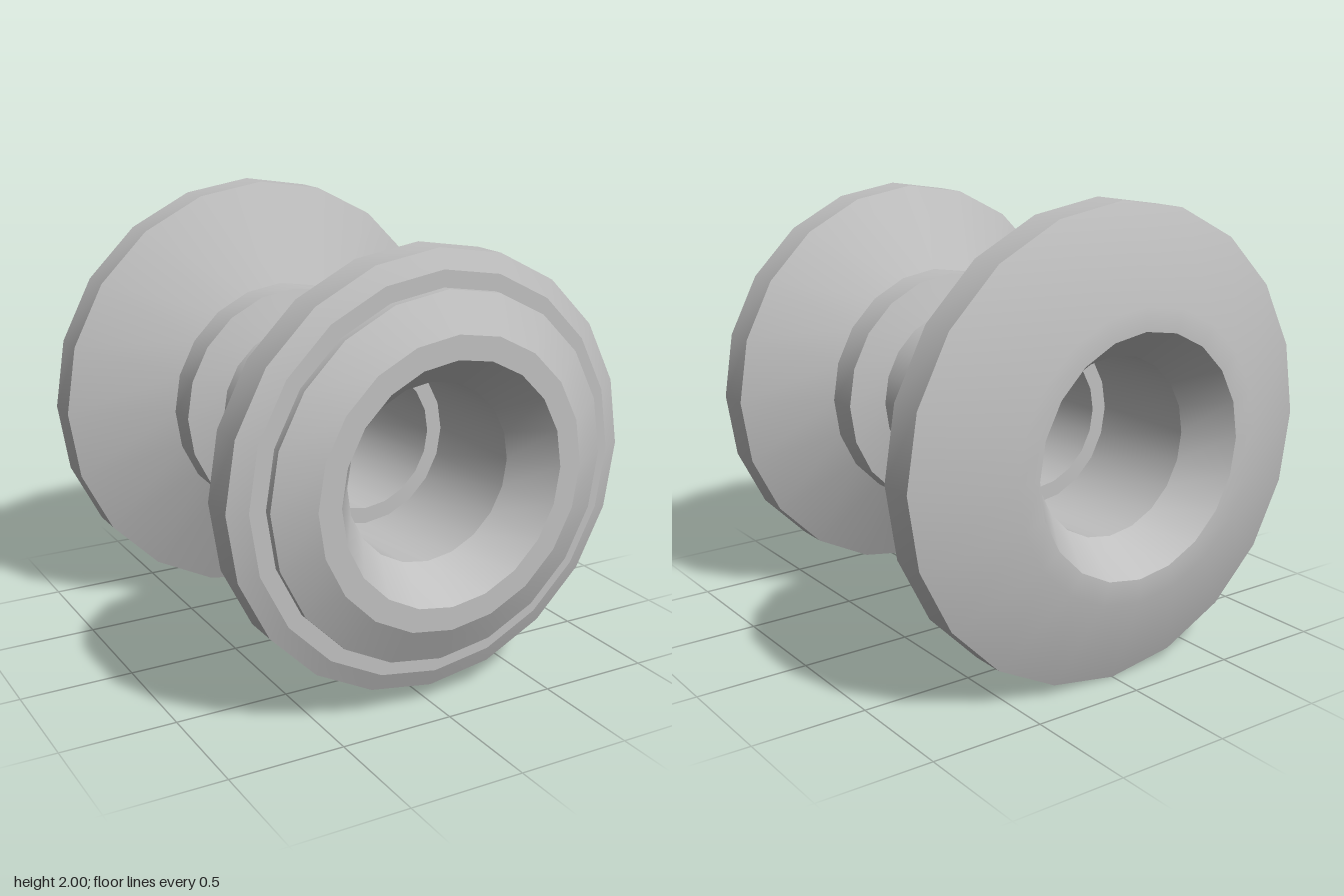
import * as THREE from 'three';
import { toCreasedNormals } from 'three/addons/utils/BufferGeometryUtils.js';

const SIDES = 20;

export function createModel() {
  const grey = new THREE.MeshStandardMaterial({ color: 0xbfbfbf });
  grey.name = 'plain grey';

  const spool = new THREE.Group();
  spool.name = 'hollowSpool';
  spool.position.y = 1;

  // Turns a profile of [radius, z] points about the z axis;
  // rising z faces outward, falling z faces the bore.
  function turn(name, profile) {
    const points = profile.map(([r, z]) => new THREE.Vector2(r, z));
    const lathe = new THREE.LatheGeometry(points, SIDES).rotateX(Math.PI / 2);
    const mesh = new THREE.Mesh(toCreasedNormals(lathe, 0.4), grey);
    mesh.name = name;
    spool.add(mesh);
  }

  // Large rear flange with its flat end lip
  turn('rearFlange', [[0.51, -1], [0.61, -1], [1, -0.845], [1, -0.69], [0.55, -0.495]]);

  // Collars either side of the narrow shaft
  turn('rearCollar', [[0.55, -0.495], [0.55, -0.35], [0.39, -0.31]]);
  turn('shaft', [[0.39, -0.31], [0.39, 0.31]]);
  turn('frontCollar', [[0.39, 0.31], [0.55, 0.35], [0.55, 0.495]]);

  // Smaller front flange with bevelled rim
  turn('frontFlange', [[0.55, 0.495], [0.92, 0.695], [0.92, 0.85], [0.84, 0.885], [0.77, 0.885]]);

  // Raised cap and flat end lip on the front flange
  turn('frontCap', [[0.77, 0.885], [0.77, 0.92], [0.61, 1], [0.51, 1]]);

  // Through bore: flared mouths, wide sockets and a narrow middle
  turn('frontSocket', [[0.51, 1], [0.38, 0.81], [0.38, 0.31], [0.31, 0.31]]);
  turn('narrowBore', [[0.31, 0.31], [0.31, -0.31]]);
  turn('rearSocket', [[0.31, -0.31], [0.38, -0.31], [0.38, -0.81], [0.51, -1]]);

  const model = new THREE.Group();
  model.name = 'model';
  model.add(spool);
  return model;
}
